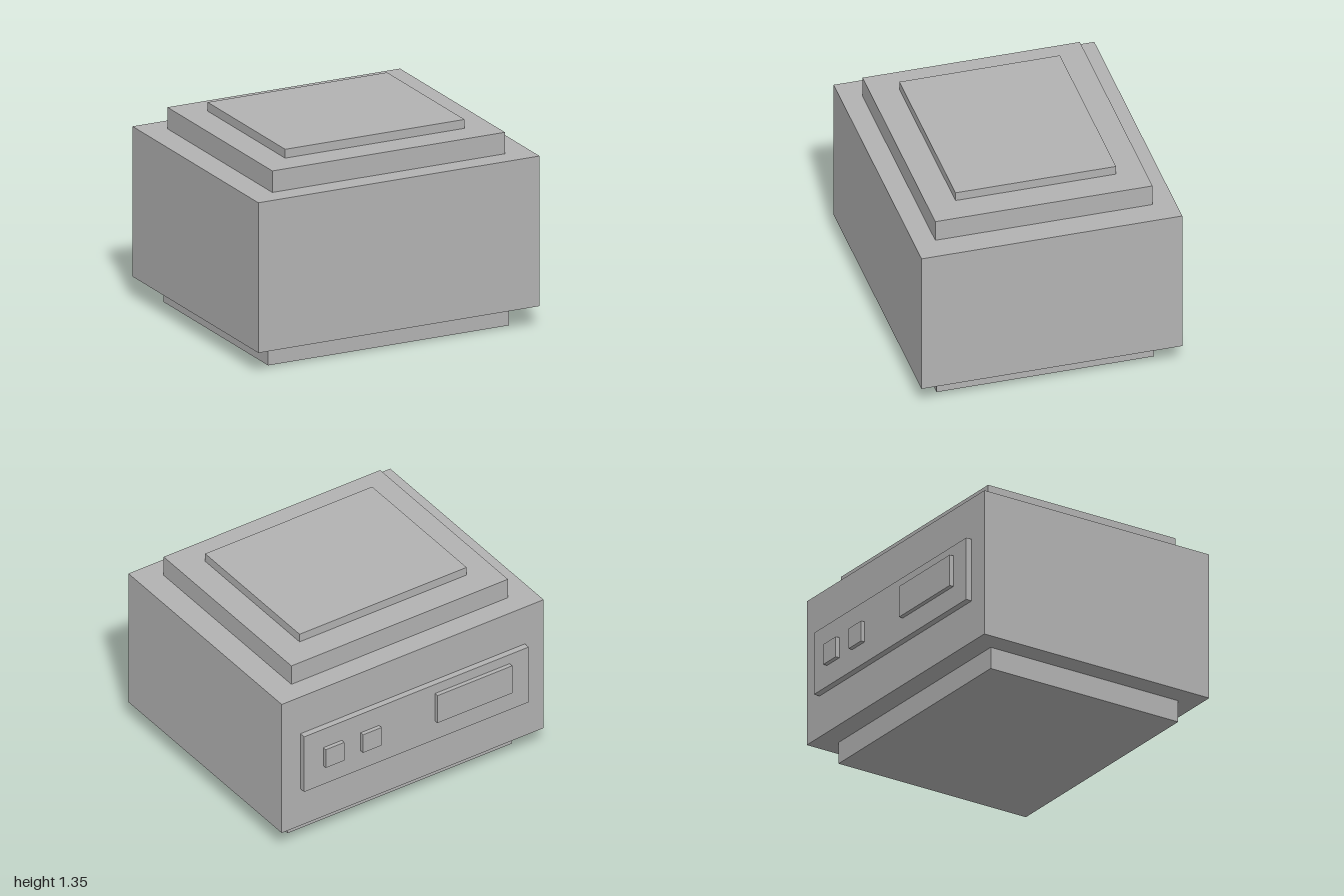
import * as THREE from 'three';

export function createModel() {
  const model = new THREE.Group();
  const grey = new THREE.MeshStandardMaterial({ color: 0xb2b2b2 });
  grey.name = 'plain grey';

  // Box given by its extents along each axis
  function block(name, [x0, x1], [y0, y1], [z0, z1]) {
    const mesh = new THREE.Mesh(new THREE.BoxGeometry(x1 - x0, y1 - y0, z1 - z0), grey);
    mesh.position.set((x0 + x1) / 2, (y0 + y1) / 2, (z0 + z1) / 2);
    mesh.name = name;
    model.add(mesh);
  }

  // Stacked housing
  block('base', [-0.857, 0.857], [0, 0.147], [-0.675, 0.75]);
  block('body', [-1, 1], [0.147, 1.145], [-0.82, 0.89]);
  block('upperStep', [-0.827, 0.827], [1.145, 1.288], [-0.675, 0.75]);
  block('topPlate', [-0.638, 0.638], [1.288, 1.347], [-0.49, 0.563]);

  // Rear panel with a wide port and two small sockets
  block('rearPanel', [-0.857, 0.857], [0.432, 0.86], [-0.862, -0.82]);
  block('widePort', [-0.713, -0.143], [0.577, 0.79], [-0.89, -0.862]);
  for (const x of [0.285, 0.57]) {
    block('smallSocket', [x, x + 0.141], [0.577, 0.717], [-0.89, -0.862]);
  }

  return model;
}
